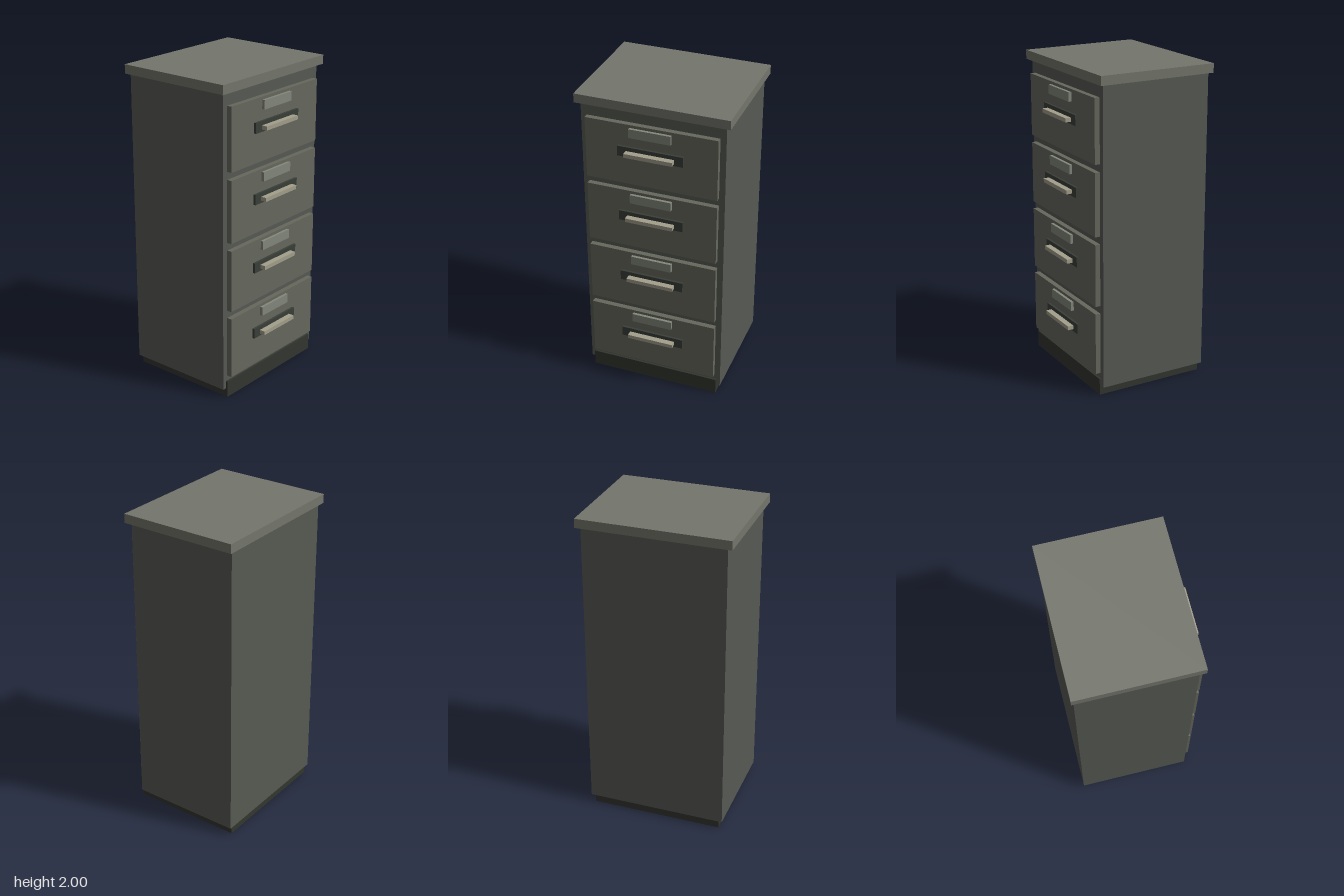
import * as THREE from 'three';

const material = (color) => new THREE.MeshStandardMaterial({ color });

// Box from its extents, symmetric about x = 0
function box(parent, name, halfWidth, [y0, y1], [z0, z1], mat) {
  const mesh = new THREE.Mesh(new THREE.BoxGeometry(halfWidth * 2, y1 - y0, z1 - z0), mat);
  mesh.name = name;
  mesh.position.set(0, (y0 + y1) / 2, (z0 + z1) / 2);
  parent.add(mesh);
  return mesh;
}

export function createModel() {
  const cabinet = new THREE.Group();
  cabinet.name = 'filingCabinet';

  const bodyMat = material(0x575a53);
  const topMat = material(0x74756b);
  const plinthMat = material(0x33362f);
  const drawerMat = material(0x66685d);
  const labelMat = material(0x83877b);
  const plateMat = material(0x3a3f38);
  const pullMat = material(0xa39f8c);

  // Carcass
  box(cabinet, 'plinth', 0.422, [0, 0.105], [-0.382, 0.338], plinthMat);
  box(cabinet, 'body', 0.447, [0.055, 1.945], [-0.393, 0.325], bodyMat);
  box(cabinet, 'topPanel', 0.477, [1.943, 2], [-0.41, 0.353], topMat);

  // Four identical drawers, heights measured from each drawer's lower edge
  for (let i = 0; i < 4; i++) {
    const drawer = new THREE.Group();
    drawer.name = `drawer${i + 1}`;
    drawer.position.y = 0.14 + i * 0.443;
    box(drawer, 'drawerFront', 0.41, [0, 0.394], [0.32, 0.358], drawerMat);
    box(drawer, 'labelHolder', 0.13, [0.319, 0.376], [0.35, 0.376], labelMat);
    box(drawer, 'handlePlate', 0.204, [0.188, 0.253], [0.35, 0.373], plateMat);
    box(drawer, 'handleBar', 0.15, [0.203, 0.228], [0.365, 0.41], pullMat);
    cabinet.add(drawer);
  }
  return cabinet;
}
